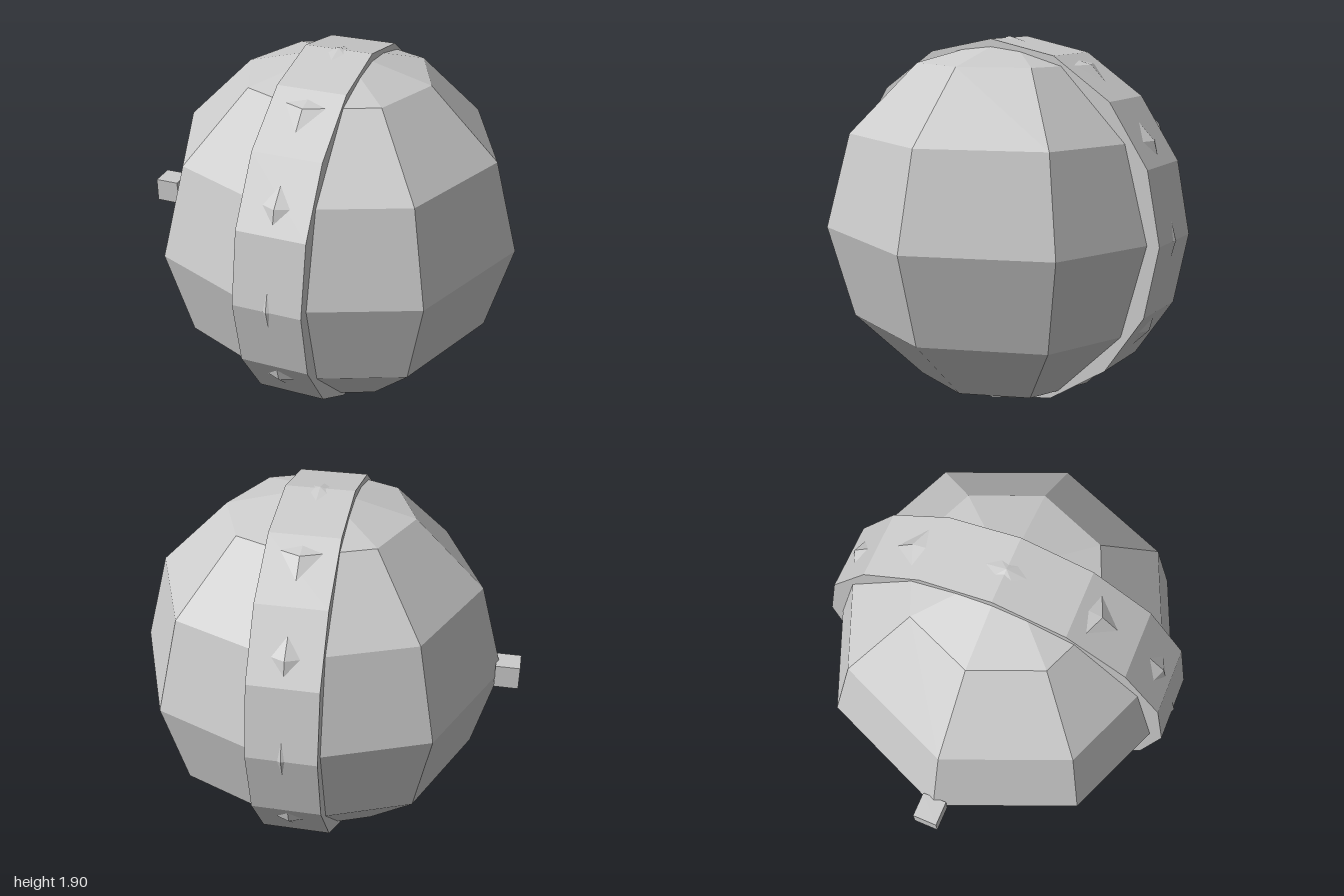
import * as THREE from 'three';

const CX = 0.048, CY = 0.952;

export function createModel() {
  const group = new THREE.Group();
  const material = new THREE.MeshStandardMaterial({ color: 0xcccccc, flatShading: true });

  const add = (name, geometry, x) => {
    const mesh = new THREE.Mesh(geometry, material);
    mesh.name = name;
    mesh.position.set(x, CY, 0);
    group.add(mesh);
    return mesh;
  };

  // Low-poly ball with its poles up and down
  add('ball', new THREE.SphereGeometry(0.952, 8, 6), CX);

  // Band around the middle; the corners of the ball poke slightly through it
  add('band', new THREE.CylinderGeometry(0.945, 0.945, 0.346, 16).rotateZ(Math.PI / 2), CX);

  // Small cube knob on the side
  add('knob', new THREE.BoxGeometry(0.125, 0.125, 0.125), -0.9375);

  return group;
}
